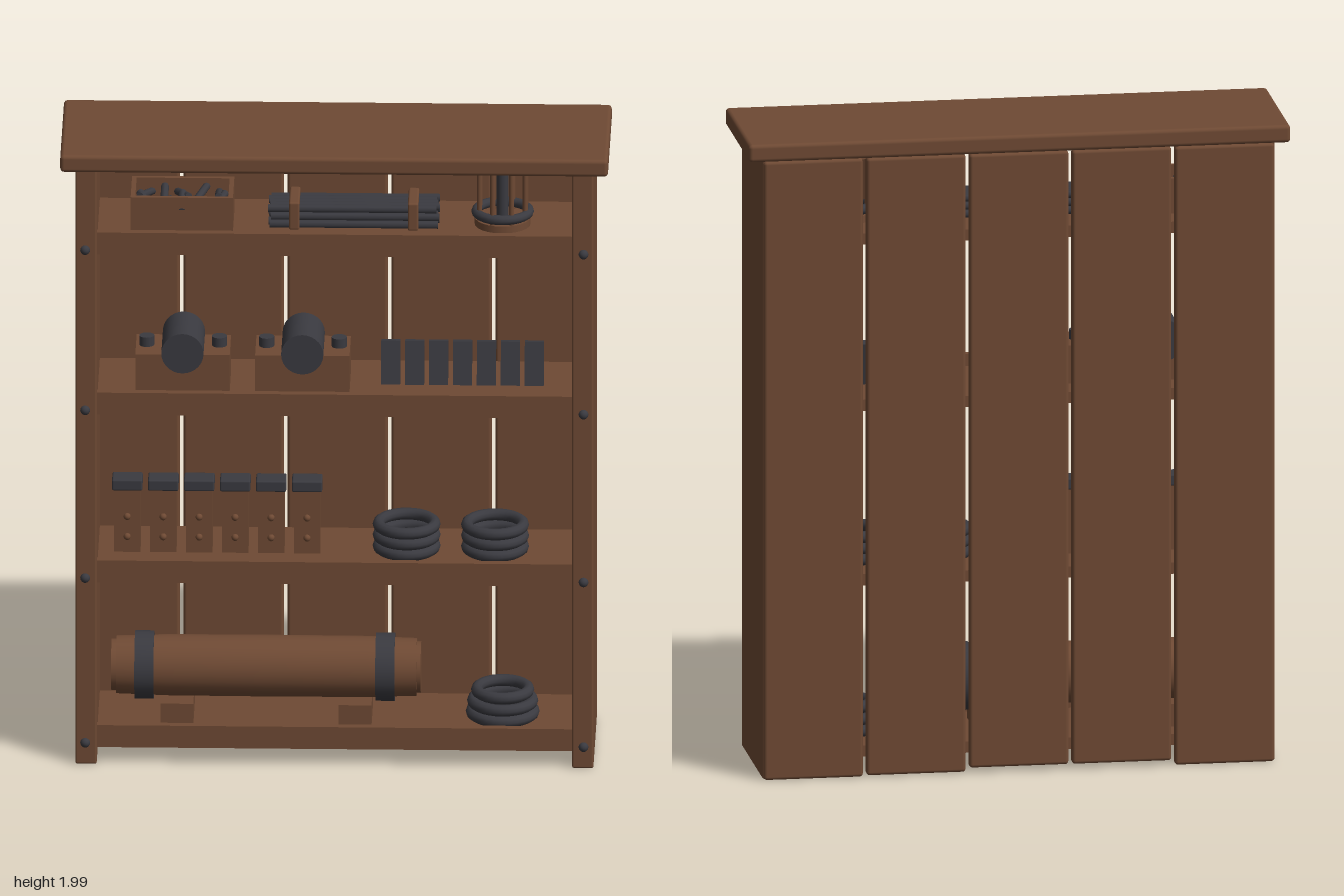
import * as THREE from 'three';
import { RoundedBoxGeometry } from 'three/addons/geometries/RoundedBoxGeometry.js';

const wood = new THREE.MeshStandardMaterial({ color: 0x6f4a34 });
wood.name = 'brown wood';
const iron = new THREE.MeshStandardMaterial({ color: 0x3a3a40 });
iron.name = 'dark iron';

function add(parent, name, geometry, material, x = 0, y = 0, z = 0) {
  const mesh = new THREE.Mesh(geometry, material);
  mesh.name = name;
  mesh.position.set(x, y, z);
  parent.add(mesh);
  return mesh;
}

// Box given by its limits on each axis, optionally with rounded edges
function block(parent, name, material, [x0, x1], [y0, y1], [z0, z1], r = 0) {
  const s = [x1 - x0, y1 - y0, z1 - z0];
  const g = r ? new RoundedBoxGeometry(...s, 2, r) : new THREE.BoxGeometry(...s);
  return add(parent, name, g, material, (x0 + x1) / 2, (y0 + y1) / 2, (z0 + z1) / 2);
}

function rod(parent, name, material, r, length, x, y, z, axis = 'y', sides = 16) {
  const g = new THREE.CylinderGeometry(r, r, length, sides);
  if (axis === 'x') g.rotateZ(-Math.PI / 2);
  if (axis === 'z') g.rotateX(Math.PI / 2);
  return add(parent, name, g, material, x, y, z);
}

function group(parent, name, x = 0, y = 0, z = 0) {
  const g = new THREE.Group();
  g.name = name;
  g.position.set(x, y, z);
  parent.add(g);
  return g;
}

const shelfTops = [0.1, 0.635, 1.18, 1.7];

function buildCase(root) {
  const frame = group(root, 'case');
  block(frame, 'topBoard', wood, [-0.83, 0.83], [1.945, 2], [-0.24, 0.24], 0.012);
  for (const s of [-1, 1]) {
    const edges = [0.72 * s, 0.785 * s].sort((a, b) => a - b);
    block(frame, 'sidePanel', wood, edges, [0.012, 1.95], [-0.215, 0.205], 0.006);
  }
  // Back planks with narrow gaps and uneven lower ends
  const lows = [0.01, 0.025, 0.025, 0.013, 0.01];
  lows.forEach((low, i) => {
    const x = (i - 2) * 0.315;
    block(frame, 'backPlank', wood, [x - 0.152, x + 0.152], [low, 1.942], [-0.226, -0.188], 0.01);
  });
  // Shelves, retaining lips and rivets
  for (const y of shelfTops) {
    block(frame, 'shelf', wood, [-0.72, 0.72], [y - 0.035, y], [-0.19, 0.198]);
    block(frame, 'shelfLip', wood, [-0.72, 0.72], [y, y + 0.037], [0.175, 0.2]);
    for (const s of [-1, 1])
      add(frame, 'rivet', new THREE.SphereGeometry(0.015, 12, 8), iron, 0.755 * s, y - 0.018, 0.206);
  }
}

function ringStack(root, x, y, radii) {
  const stack = group(root, 'ringStack', x, y, 0);
  radii.forEach((r, i) => {
    const g = new THREE.TorusGeometry(r, 0.018, 10, 28).rotateX(Math.PI / 2);
    add(stack, 'ring', g, iron, 0, 0.018 + i * 0.035, 0);
  });
}

function buildBarrel(root) {
  const barrel = group(root, 'barrel', -0.21, 0.258, 0);
  const profile = [[0, -0.47], [0.078, -0.47], [0.078, -0.455], [0.088, -0.455], [0.093, -0.3],
    [0.094, 0], [0.093, 0.3], [0.088, 0.455], [0.078, 0.455], [0.078, 0.468], [0, 0.468]];
  // Each profile step gets its own normals so the end steps stay sharp
  const cuts = [[0, 2], [1, 3], [2, 4], [3, 8], [7, 9], [8, 10], [9, 11]];
  for (const [a, b] of cuts) {
    const pts = profile.slice(a, b).map(([r, h]) => new THREE.Vector2(r, h));
    add(barrel, 'barrelBody', new THREE.LatheGeometry(pts, 28).rotateZ(-Math.PI / 2), wood);
  }
  for (const x of [-0.37, 0.36]) rod(barrel, 'barrelBand', iron, 0.104, 0.058, x, 0, 0, 'x', 28);
  for (const x of [-0.48, 0.06])
    block(root, 'barrelSupport', wood, [x - 0.05, x + 0.05], [0.1, 0.17], [-0.1, 0.1]);
}

function cappedBoxes(root) {
  for (let i = 0; i < 6; i++) {
    const b = group(root, 'cappedBox', -0.632 + i * 0.109, 0.635, 0);
    block(b, 'boxBody', wood, [-0.04, 0.04], [0, 0.205], [-0.03, 0.03]);
    block(b, 'boxCap', iron, [-0.046, 0.046], [0.2, 0.235], [-0.036, 0.036], 0.005);
    for (const y of [0.05, 0.115])
      add(b, 'stud', new THREE.SphereGeometry(0.011, 10, 8), wood, 0, y, 0.03);
  }
}

function drumBlock(root, x) {
  const d = group(root, 'drumBlock', x, 1.18, 0);
  block(d, 'drumBase', wood, [-0.143, 0.143], [0, 0.118], [-0.085, 0.085]);
  rod(d, 'drum', iron, 0.064, 0.19, 0, 0.125, 0, 'z', 28);
  for (const s of [-1, 1]) rod(d, 'knob', iron, 0.023, 0.032, 0.11 * s, 0.132, 0);
}

function tray(root) {
  const t = group(root, 'tray', -0.465, 1.7, 0);
  block(t, 'trayFloor', wood, [-0.155, 0.155], [0, 0.05], [-0.09, 0.09]);
  for (const s of [-1, 1]) {
    const wall = (o, i) => [o * s, i * s].sort((a, b) => a - b);
    block(t, 'trayWall', wood, [-0.155, 0.155], [0, 0.11], wall(0.09, 0.076));
    block(t, 'trayEnd', wood, wall(0.155, 0.141), [0, 0.11], [-0.076, 0.076]);
  }
  // Loose spikes inside
  for (let i = 0; i < 10; i++) {
    const m = rod(t, 'spike', iron, 0.012, 0.11, -0.11 + (i % 5) * 0.055, 0.075, i < 5 ? -0.035 : 0.035, 'z', 8);
    m.rotation.set(i % 2 ? 0.2 : -0.2, 0.35 * (i % 3 - 1), 0);
  }
}

function rodBundle(root) {
  const b = group(root, 'rodBundle', 0.055, 1.7, 0);
  for (let row = 0; row < 3; row++)
    for (let k = 0; k < 5; k++)
      rod(b, 'bundledRod', iron, 0.0125, 0.51, ((k + row) % 3 - 1) * 0.004,
        0.0135 + row * 0.025, (k - 2) * 0.025, 'x', 8);
  for (const x of [-0.18, 0.18])
    block(b, 'strap', wood, [x - 0.016, x + 0.016], [0, 0.089], [-0.07, 0.07], 0.006);
}

function cageSpool(root) {
  const s = group(root, 'cageSpool', 0.505, 1.7, 0);
  for (const y of [0.012, 0.21]) rod(s, 'spoolPlate', wood, 0.085, 0.022, 0, y, 0, 'y', 24);
  for (const y of [0.042, 0.23])
    add(s, 'spoolRing', new THREE.TorusGeometry(0.08, 0.015, 10, 28).rotateX(Math.PI / 2), iron, 0, y, 0);
  rod(s, 'spoolCore', iron, 0.018, 0.22, 0, 0.115, 0);
  for (let i = 0; i < 8; i++) {
    const a = (i + 0.5) * Math.PI / 4;
    rod(s, 'spoolPost', wood, 0.008, 0.2, 0.075 * Math.cos(a), 0.115, 0.075 * Math.sin(a), 'y', 8);
  }
}

export function createModel() {
  const root = new THREE.Group();
  root.name = 'stockedShelf';
  buildCase(root);

  // Bottom shelf
  buildBarrel(root);
  ringStack(root, 0.505, 0.1, [0.094, 0.09, 0.078]);

  // Second shelf
  cappedBoxes(root);
  for (const x of [0.214, 0.482]) ringStack(root, x, 0.635, [0.085, 0.085, 0.085]);

  // Third shelf, with a row of leaning slabs
  for (const x of [-0.463, -0.1]) drumBlock(root, x);
  for (let i = 0; i < 7; i++) {
    const slab = add(root, 'slab', new THREE.BoxGeometry(0.058, 0.135, 0.03), iron, 0.166 + i * 0.0725, 1.248, 0);
    slab.rotation.x = -0.2;
  }

  // Upper shelf
  tray(root);
  rodBundle(root);
  cageSpool(root);
  return root;
}
